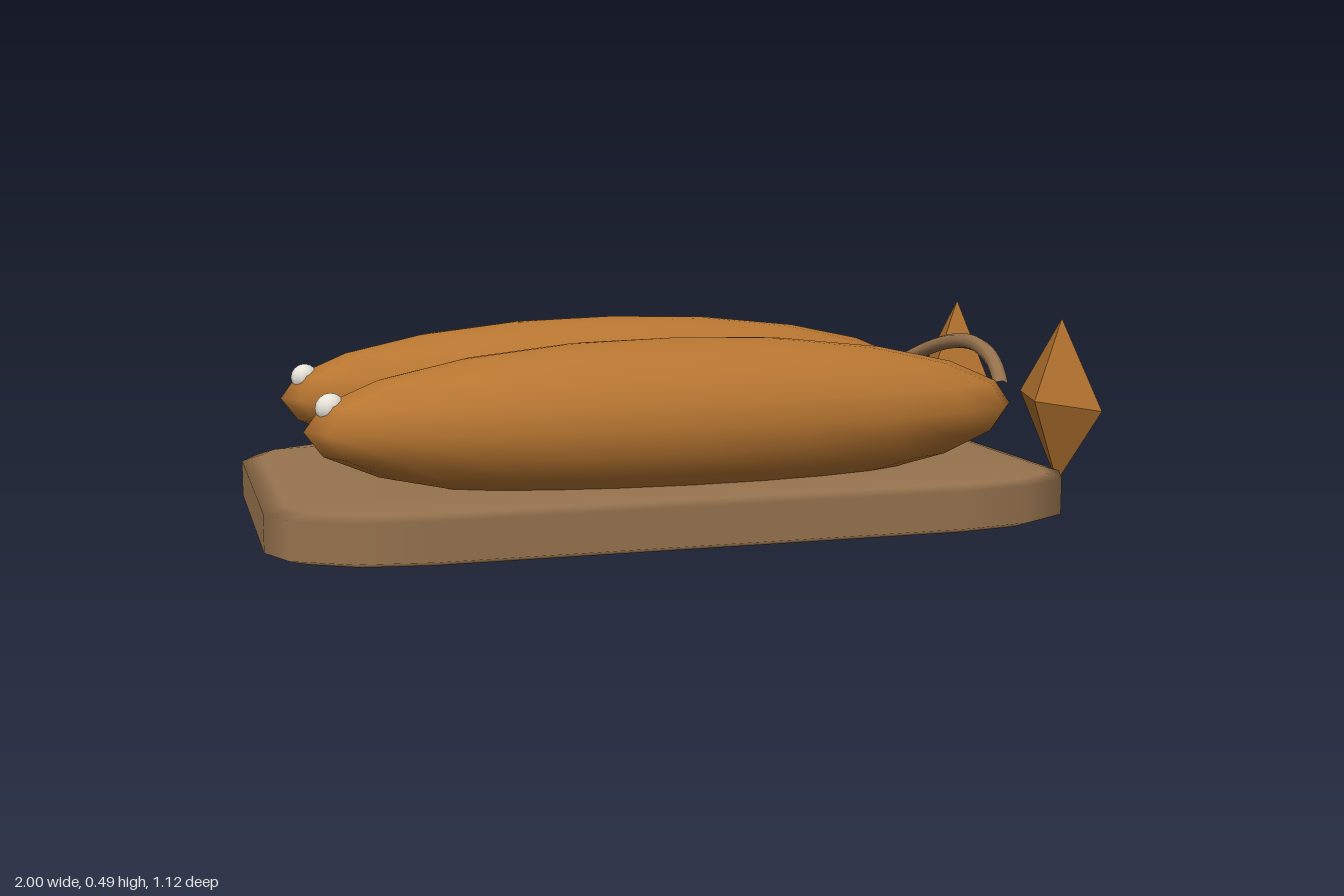
import * as THREE from 'three';

const mat = (name, color) => {
  const m = new THREE.MeshStandardMaterial({ color });
  m.name = name;
  return m;
};

// Box with elliptical rounded corners: three steps per quarter turn, flat spans between
function roundedSlab(size, radius) {
  const geo = new THREE.PlaneGeometry(1, 1, 16, 9);
  const { position, normal } = geo.attributes;
  const inner = size.map((s, i) => s / 2 - radius[i]);
  const n = new THREE.Vector3();
  for (let row = 0; row <= 9; row++) {
    for (let col = 0; col <= 16; col++) {
      const i = row * 17 + col;
      const top = row < 5;
      if (row === 0 || row === 9) { // centre of the flat top or bottom
        position.setXYZ(i, 0, (top ? 1 : -1) * size[1] / 2, 0);
        normal.setXYZ(i, 0, top ? 1 : -1, 0);
        continue;
      }
      const phi = (top ? row - 1 : row - 2) * Math.PI / 6;
      const quarter = Math.floor(col / 4) % 4;
      const theta = (quarter * 3 + col % 4) * Math.PI / 6;
      const sx = quarter < 2 ? 1 : -1;
      const sz = quarter === 0 || quarter === 3 ? 1 : -1;
      const x = Math.sin(phi) * Math.sin(theta);
      const y = Math.cos(phi);
      const z = Math.sin(phi) * Math.cos(theta);
      position.setXYZ(i, sx * inner[0] + x * radius[0],
        (top ? 1 : -1) * inner[1] + y * radius[1], sz * inner[2] + z * radius[2]);
      n.set(x / radius[0], y / radius[1], z / radius[2]).normalize();
      normal.setXYZ(i, n.x, n.y, n.z);
    }
  }
  return geo;
}

export function createModel() {
  const model = new THREE.Group();
  model.name = 'fishOnBoard';
  const golden = mat('goldenBrown', 0xb87631);
  const wood = mat('woodBrown', 0x97734e);
  const white = mat('eyeWhite', 0xe8e4da);

  const add = (parent, name, geo, material, x, y, z) => {
    const mesh = new THREE.Mesh(geo, material);
    mesh.name = name;
    mesh.position.set(x, y, z);
    parent.add(mesh);
    return mesh;
  };

  // Serving board
  add(model, 'board', roundedSlab([1.96, 0.14, 1.12], [0.35, 0.025, 0.2]), wood, -0.02, 0.07, 0);

  // Shared fish shapes
  const bodyGeo = new THREE.SphereGeometry(1, 20, 10).scale(0.88, 0.19, 0.21);
  const eyeGeo = new THREE.SphereGeometry(0.035, 10, 8);
  const tailGeo = new THREE.ConeGeometry(0.21, 0.07, 4).toNonIndexed();
  tailGeo.computeVertexNormals();
  tailGeo.rotateZ(Math.PI / 2); // tip towards the body

  // Two fish side by side
  for (const [name, z] of [['frontFish', 0.28], ['backFish', -0.32]]) {
    const fish = new THREE.Group();
    fish.name = name;
    fish.position.z = z;
    add(fish, 'body', bodyGeo, golden, -0.02, 0.28, 0);
    add(fish, 'eye', eyeGeo, white, -0.838, 0.332, 0);
    add(fish, 'tail', tailGeo, golden, 0.965, 0.28, 0);
    model.add(fish);
  }

  // Cord arching between the two fish
  const arch = new THREE.QuadraticBezierCurve3(
    new THREE.Vector3(0.835, 0.32, 0.28),
    new THREE.Vector3(0.945, 0.49, -0.02),
    new THREE.Vector3(0.835, 0.32, -0.32));
  add(model, 'cord', new THREE.TubeGeometry(arch, 16, 0.02, 8), wood, 0, 0, 0);

  return model;
}
